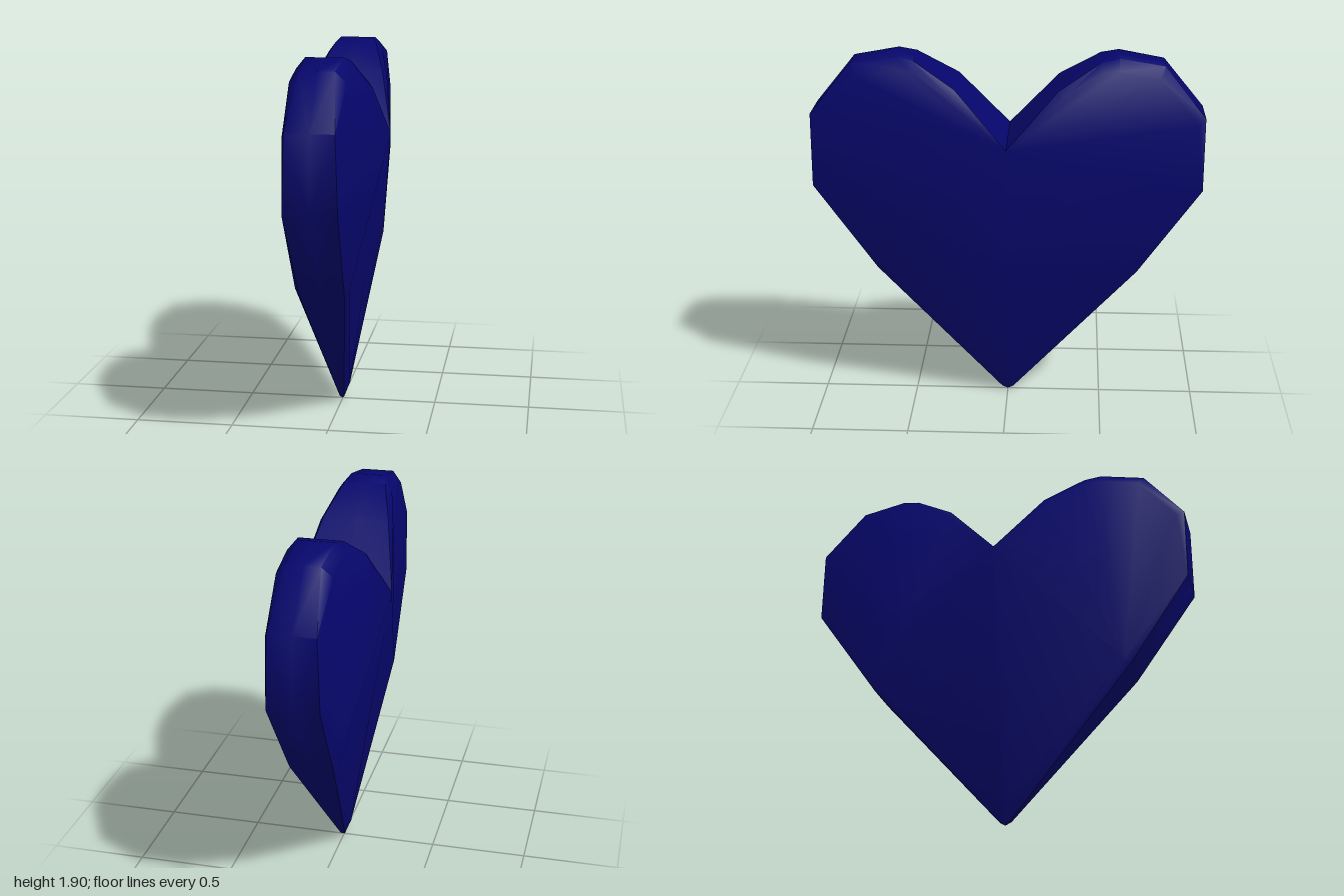
import * as THREE from 'three';
import { toCreasedNormals } from 'three/addons/utils/BufferGeometryUtils.js';

// Half outline from cleft to tip, as [z, y, half thickness].
// rim: edge of the outer wall; shoulder: where the bevel meets the broad face
const HALF = [
  { rim: [0, 1.46, 0.25] },
  { rim: [0.26, 1.75, 0.172], shoulder: [0.28, 1.72, 0.195] },
  { rim: [0.47, 1.88, 0.11], shoulder: [0.48, 1.835, 0.145] },
  { rim: [0.56, 1.9, 0.095], shoulder: [0.56, 1.845, 0.14] },
  { rim: [0.79, 1.86, 0.085], shoulder: [0.765, 1.805, 0.135] },
  { rim: [1, 1.6, 0.118], shoulder: [0.965, 1.575, 0.133] },
  { rim: [1, 1.22, 0.13] },
  { rim: [0.68, 0.76, 0.112], shoulder: [0.655, 0.785, 0.135] },
  { rim: [0.03, 0.02, 0.012], shoulder: [0.015, 0.1, 0.04] },
  { rim: [0, 0, 0], shoulder: [0, 0.09, 0.04] },
];
const RIM = HALF.map((p) => p.rim);
const FACE = HALF.map((p) => p.shoulder ?? p.rim);
const WALL = RIM.map(([z, y]) => [z, y, 0]);
const LOWER = 7; // lower corner of the lobe
const FOLD = [0, FACE[LOWER][1], FACE[LOWER][2]]; // middle of the left fold

function heartGeometry() {
  const positions = [];

  for (const sx of [1, -1]) for (const sz of [1, -1]) {
    const tri = (...corners) => {
      const [a, b, c] = corners.map(([z, y, x]) => new THREE.Vector3(x * sx, y, z * sz));
      const area = b.clone().sub(a).cross(c.clone().sub(a)).length();
      if (area < 1e-7) return;
      for (const p of sx === sz ? [a, b, c] : [a, c, b]) positions.push(p.x, p.y, p.z);
    };
    const fan = (hub, from, to) => {
      for (let i = from; i < to; i++) tri(hub, FACE[i], FACE[i + 1]);
    };

    if (sx > 0) {
      // left face: lobe fanned from the cleft, level fold above the tip
      fan(FACE[0], 1, LOWER);
      tri(FACE[0], FACE[LOWER], FOLD);
      fan(FOLD, LOWER, 9);
    } else {
      // right face: lobe folded from its lower corner, ridge down to the tip
      fan(FACE[LOWER], 0, LOWER - 1);
      fan(FACE[0], LOWER, 9);
    }

    // bevel and outer wall
    for (let i = 0; i < HALF.length - 1; i++) {
      tri(FACE[i], RIM[i], RIM[i + 1]);
      tri(FACE[i], RIM[i + 1], FACE[i + 1]);
      tri(RIM[i], WALL[i], WALL[i + 1]);
      tri(RIM[i], WALL[i + 1], RIM[i + 1]);
    }
  }

  const geometry = new THREE.BufferGeometry();
  geometry.setAttribute('position', new THREE.Float32BufferAttribute(positions, 3));
  return toCreasedNormals(geometry, 0.95);
}

export function createModel() {
  const group = new THREE.Group();
  group.name = 'heart';
  const body = new THREE.Mesh(
    heartGeometry(),
    new THREE.MeshStandardMaterial({ color: 0x06066c }),
  );
  body.name = 'heartBody';
  group.add(body);
  return group;
}
